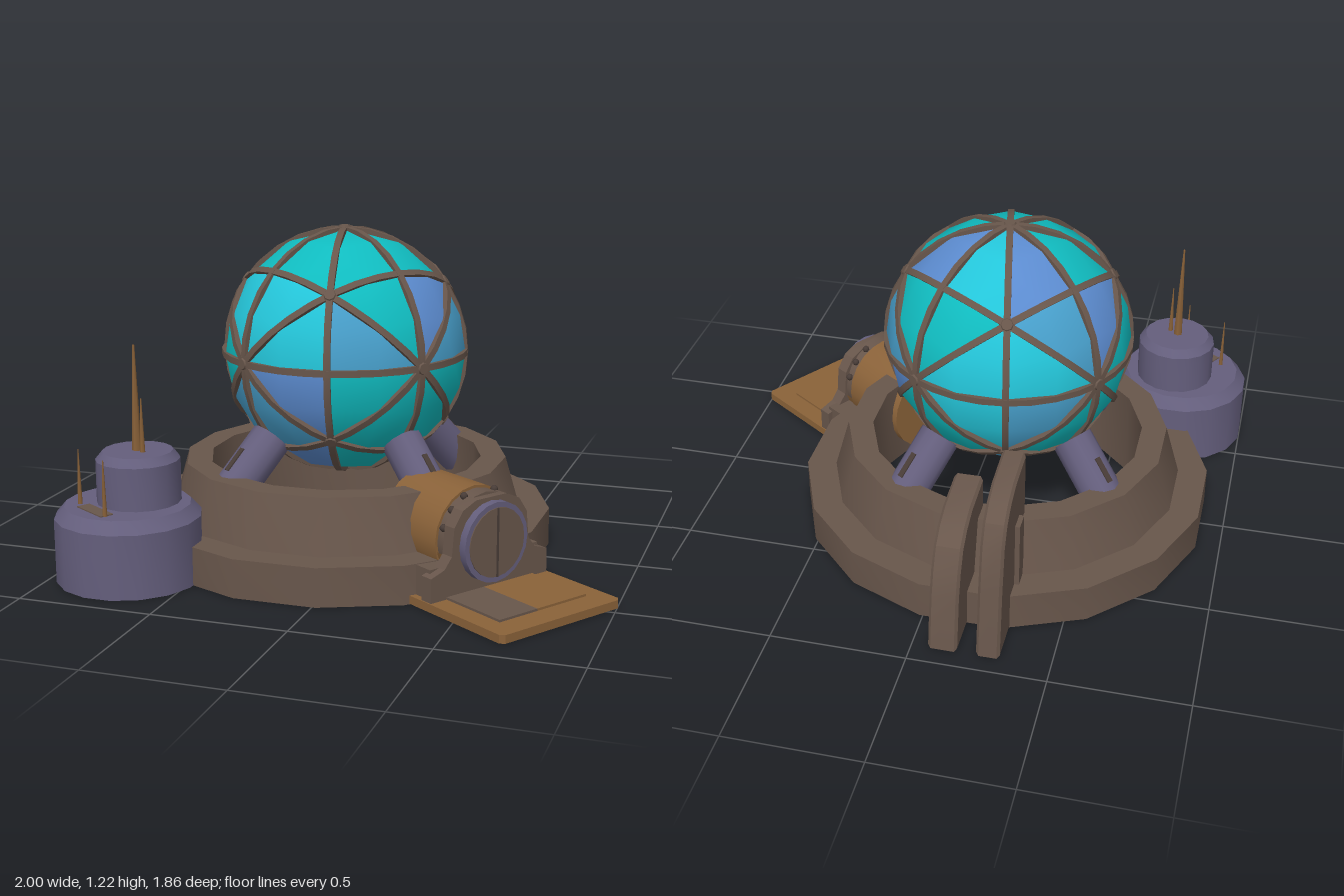
import * as THREE from 'three';
import { mergeGeometries, toCreasedNormals } from 'three/addons/utils/BufferGeometryUtils.js';

const mat = (name, color, side = THREE.FrontSide) => {
  const m = new THREE.MeshStandardMaterial({ color, side });
  m.name = name;
  return m;
};
const brown = mat('umber metal', 0x68564b, THREE.DoubleSide);
const dark = mat('dark metal', 0x483c37);
const purple = mat('violet grey metal', 0x645e7c, THREE.DoubleSide);
const tan = mat('tan metal', 0x8a6239);
const glass = [
  mat('teal glass', 0x10bcc0), mat('cyan glass', 0x24c6da),
  mat('blue glass', 0x48a0cc), mat('periwinkle glass', 0x5c8cd0),
];

const CX = -0.14;          // centre of dome and ring
const TURN = -0.595;       // turn of the dome frame and its legs
const V = (x, y, z) => new THREE.Vector3(x, y, z);
const V2 = (x, y) => new THREE.Vector2(x, y);

function add(parent, name, geometry, material, x = 0, y = 0, z = 0) {
  const mesh = new THREE.Mesh(geometry, material);
  mesh.name = name;
  mesh.position.set(x, y, z);
  parent.add(mesh);
  return mesh;
}
const group = (parent, name, x, y, z, turn = 0) => {
  const g = new THREE.Group();
  g.name = name;
  g.position.set(x, y, z);
  g.rotation.y = turn;
  parent.add(g);
  return g;
};
const crease = (g, angle = 0.6) => toCreasedNormals(g, angle);
const lathe = (pts, n, start = 0) => new THREE.LatheGeometry(pts.map(p => V2(...p)), n, start);
const box = (w, h, d) => new THREE.BoxGeometry(w, h, d);
const extrude = (pts, depth, bevel = 0) => new THREE.ExtrudeGeometry(
  new THREE.Shape(pts.map(p => V2(...p))),
  { depth, bevelEnabled: bevel > 0, bevelSize: bevel, bevelThickness: bevel, bevelOffset: -bevel, bevelSegments: 1 });

// Cylinder along z, from z0 to z1
function barrel(r, z0, z1, sides = 20) {
  const g = new THREE.CylinderGeometry(r, r, z1 - z0, sides).rotateX(Math.PI / 2).translate(0, 0, (z0 + z1) / 2);
  return crease(g);
}

// One spherical panel between three frame nodes
function panel(a, b, c, r, n = 2) {
  if (a.clone().cross(b).dot(c) < 0) [b, c] = [c, b];
  const at = (i, j) => a.clone().multiplyScalar(n - i - j).addScaledVector(b, i).addScaledVector(c, j).normalize();
  const pos = [], nor = [];
  const tri = (...vs) => vs.forEach(v => {
    nor.push(v.x, v.y, v.z);
    pos.push(v.x * r, v.y * r, v.z * r);
  });
  for (let i = 0; i < n; i++) for (let j = 0; j < n - i; j++) {
    tri(at(i, j), at(i + 1, j), at(i, j + 1));
    if (i + j < n - 1) tri(at(i + 1, j), at(i + 1, j + 1), at(i, j + 1));
  }
  const g = new THREE.BufferGeometry();
  g.setAttribute('position', new THREE.Float32BufferAttribute(pos, 3));
  g.setAttribute('normal', new THREE.Float32BufferAttribute(nor, 3));
  return g;
}

function buildDome(model) {
  const dome = group(model, 'dome', CX, 0.75, 0, TURN);
  const R = 0.46;
  // 48 glass panels: eight octants of six, one tint digit each
  const tints = {
    '1,1,1': '020011', '1,1,-1': '320320', '-1,1,1': '300001', '-1,1,-1': '213110',
    '1,-1,1': '000332', '1,-1,-1': '000230', '-1,-1,1': '002202', '-1,-1,-1': '023210',
  };
  const orders = [[0, 1, 2], [0, 2, 1], [1, 0, 2], [1, 2, 0], [2, 0, 1], [2, 1, 0]];
  const byTint = [[], [], [], []];
  for (const [key, digits] of Object.entries(tints)) {
    const s = key.split(',').map(Number);
    orders.forEach(([p, q], k) => {
      const a = V(0, 0, 0).setComponent(p, s[p]);
      const b = a.clone().setComponent(q, s[q]).normalize();
      byTint[+digits[k]].push(panel(a, b, V(...s).normalize(), R));
    });
  }
  byTint.forEach((list, i) => add(dome, 'glassPanels', mergeGeometries(list), glass[i]));

  // Nine hoops lie on the mirror planes of the panel pattern
  const band = crease(lathe([[R - 0.014, -0.012], [R + 0.007, -0.012], [R + 0.007, 0.012], [R - 0.014, 0.012]], 32));
  const normals = [V(1, 0, 0), V(0, 1, 0), V(0, 0, 1)];
  for (const s of [1, -1]) normals.push(V(1, s, 0), V(0, 1, s), V(s, 0, 1));
  for (const n of normals) {
    add(dome, 'hoop', band, brown).quaternion.setFromUnitVectors(V(0, 1, 0), n.clone().normalize());
  }

  // Hubs where the hoops cross
  const hub = new THREE.CylinderGeometry(0.02, 0.028, 0.016, 8);
  for (let x = -1; x <= 1; x++) for (let y = -1; y <= 1; y++) for (let z = -1; z <= 1; z++) {
    const count = Math.abs(x) + Math.abs(y) + Math.abs(z);
    if (count !== 1 && count !== 3) continue;
    const d = V(x, y, z).normalize();
    const m = add(dome, 'hub', hub, brown);
    m.position.copy(d).multiplyScalar(R + 0.003);
    m.quaternion.setFromUnitVectors(V(0, 1, 0), d);
  }
}

function buildLegs(model) {
  for (let i = 0; i < 4; i++) {
    const arm = group(model, 'leg', CX, 0, 0, TURN + i * Math.PI / 2);
    const strut = group(arm, 'legStrut', 0, 0.345, 0.455);
    strut.rotation.x = -Math.PI / 4;
    add(strut, 'legTube', crease(new THREE.CylinderGeometry(0.077, 0.077, 0.31, 12)), purple);
    add(strut, 'legSlot', box(0.022, 0.1, 0.008), dark, 0, 0, 0.075);
    // Blue panel under the leg at the model's right
    if (i === 3) add(strut, 'legPanel', box(0.06, 0.09, 0.008), glass[3], 0, -0.03, -0.075);
  }
}

function buildTank(model) {
  // Lower tank is open underneath
  add(model, 'lowerTank', crease(lathe([[0.265, 0], [0.265, 0.235], [0.228, 0.278], [0, 0.278]], 16, Math.PI / 16)),
    purple, -0.738, 0, 0.666);
  add(model, 'upperTank', crease(lathe([[0.152, 0], [0.152, 0.16], [0.127, 0.19], [0, 0.19]], 16)),
    purple, -0.712, 0.275, 0.628);
  add(model, 'tankHatch', box(0.16, 0.006, 0.05), brown, -0.8, 0.279, 0.8).rotation.y = -0.55;
  add(model, 'tankPanel', box(0.16, 0.075, 0.008), glass[3], -0.552, 0.08, 0.48).rotation.y = Math.PI * 0.75;
  // Antennas: x, z, foot, tip, radius
  for (const [x, z, y0, y1, r] of [
    [-0.714, 0.63, 0.46, 0.85, 0.018], [-0.682, 0.65, 0.46, 0.66, 0.01],
    [-0.893, 0.735, 0.27, 0.48, 0.009], [-0.738, 0.845, 0.27, 0.48, 0.009],
  ]) {
    add(model, 'antenna', new THREE.CylinderGeometry(r * 0.2, r, y1 - y0, 6), tan, x, (y0 + y1) / 2, z);
  }
}

function buildFins(model) {
  // Profile drawn as (distance behind centre, height), then turned to face back
  const fin = (name, x, width, top) => {
    const pts = [[0.515, 0], [0.515, top], [0.69, top - 0.012], [0.77, top - 0.04], [0.83, top - 0.085],
      [0.87, top - 0.16], [0.9, top * 0.45], [0.93, 0]];
    const g = extrude(pts, width - 0.02, 0.01).rotateY(Math.PI / 2).translate(x - width / 2 + 0.01, 0, 0);
    add(model, name, crease(g, 0.4), brown);
  };
  fin('tallFin', -0.275, 0.085, 0.595);
  fin('shortFin', -0.112, 0.105, 0.465);
  add(model, 'finBracket', box(0.1, 0.4, 0.07), brown, -0.285, 0.2, -0.655);
  // Vent holes on the short fin
  for (let i = 0; i < 6; i++) for (let j = 0; j < 2; j++) {
    add(model, 'vent', box(0.004, 0.012, 0.012), dark, -0.059, 0.2 + i * 0.032, -0.69 - j * 0.035 - i * 0.008);
  }
}

function buildEntrance(model) {
  // Local +z points outward through the door
  const e = group(model, 'entrance', CX, 0, 0, TURN + Math.PI / 2);
  const Y = 0.205;
  const at = (name, g, m, y = Y) => add(e, name, g, m, 0, y, 0);

  at('entranceBarrel', barrel(0.178, 0.46, 0.75), tan);
  // Collar: tan over the top, brown on the lower flanks
  at('barrelCollar', barrel(0.168, 0.74, 0.81), brown);
  const cap = new THREE.CylinderGeometry(0.172, 0.172, 0.06, 10, 1, true, Math.PI / 2 + 0.2, Math.PI - 0.4);
  at('collarCap', crease(cap.rotateX(Math.PI / 2).rotateZ(Math.PI).translate(0, 0, 0.775)), tan);
  const half = [[0.27, 0], [0.27, 0.12], [0.21, 0.14], [0.178, 0.18], [0.168, 0.28], [0.13, 0.335], [0.07, 0.362]];
  const outline = [...half, ...half.map(([x, y]) => [-x, y]).reverse()];
  add(e, 'doorFrame', crease(extrude(outline, 0.05), 0.5), brown, 0, 0, 0.79);
  add(e, 'entranceBase', box(0.5, 0.14, 0.2), brown, 0, 0.07, 0.71);
  at('doorRim', barrel(0.145, 0.83, 0.87), purple);
  at('doorLeaf', barrel(0.126, 0.83, 0.874), brown);
  add(e, 'doorSeam', box(0.007, 0.25, 0.006), dark, 0, Y, 0.875);

  // Bolts around the collar
  for (const a of [0.35, 0.75, 1.15, 1.99, 2.39, 2.79]) {
    add(e, 'bolt', new THREE.SphereGeometry(0.014, 8, 6), dark, 0.172 * Math.cos(a), Y + 0.172 * Math.sin(a), 0.775);
  }

  // Ramp with chamfered corners, a two-tone tread and a dark underside
  const ramp = [[-0.275, -0.72], [0.275, -0.72], [0.275, -1.19], [0.26, -1.205], [-0.26, -1.205], [-0.275, -1.19]];
  add(e, 'ramp', crease(extrude([...ramp].reverse(), 0.03).rotateX(-Math.PI / 2)), tan, 0, 0.002, 0);
  add(e, 'rampTread', box(0.17, 0.009, 0.27), brown, -0.115, 0.036, 0.975);
  add(e, 'rampTreadPlain', box(0.23, 0.009, 0.27), tan, 0.085, 0.036, 0.975);
  add(e, 'rampUnderside', box(0.42, 0.004, 0.28), dark, 0, 0.002, 1.01);
}

export function createModel() {
  const model = new THREE.Group();
  model.name = 'domeStation';

  // Sixteen-sided stepped base ring, open underneath
  const ring = lathe([[0.785, 0], [0.785, 0.143], [0.672, 0.143], [0.615, 0.342], [0.52, 0.342], [0.52, 0]], 16, Math.PI / 16);
  add(model, 'baseRing', crease(ring, 0.45), brown, CX);
  // Tan plate on the hidden side of the inner wall
  add(model, 'ringPlate', box(0.19, 0.06, 0.008), tan, 0.27, 0.035, -0.33).rotation.y = Math.PI * 0.75;

  buildDome(model);
  buildLegs(model);
  buildTank(model);
  buildFins(model);
  buildEntrance(model);
  return model;
}
